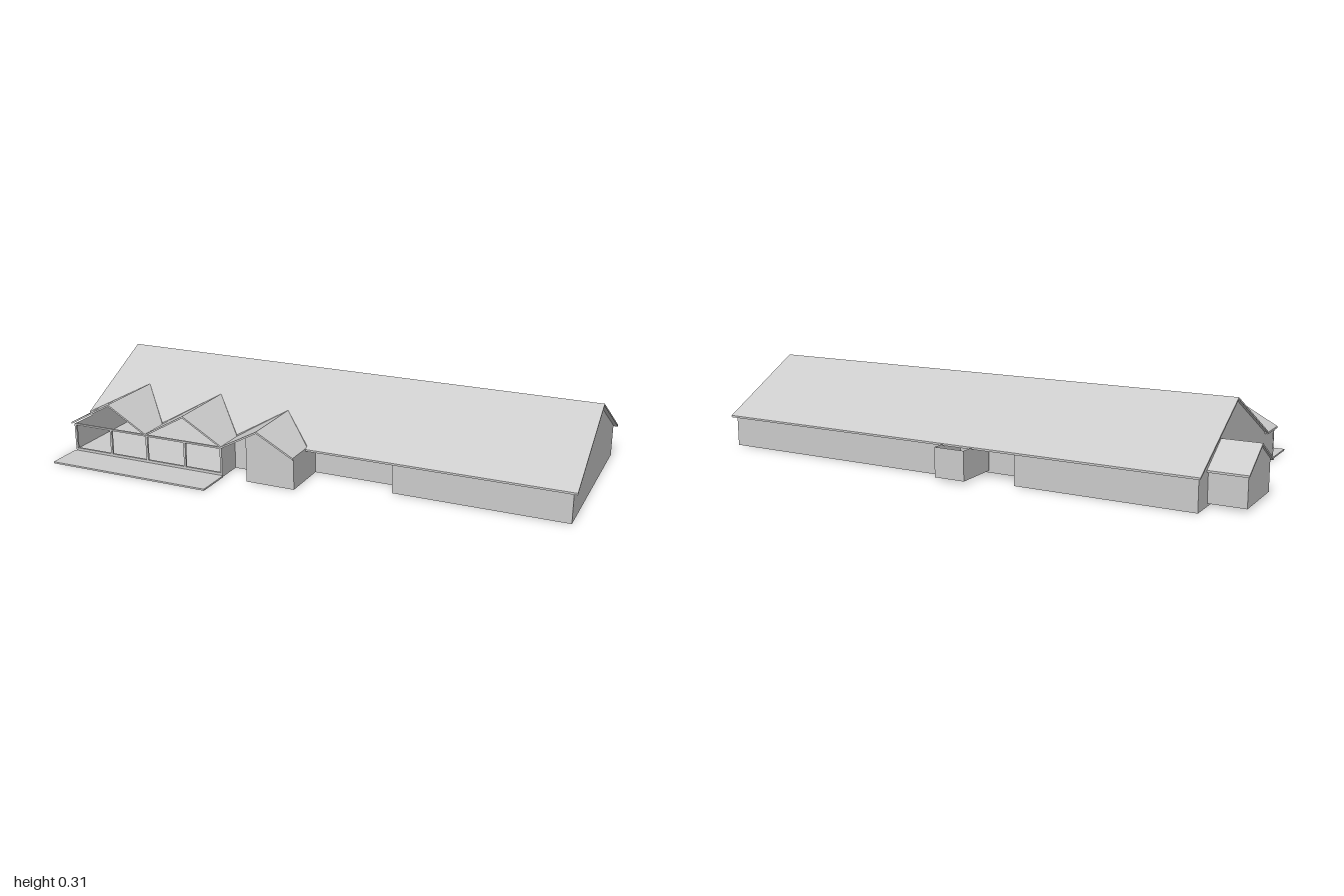
import * as THREE from 'three';

const material = new THREE.MeshStandardMaterial({ color: 0xcccccc, side: THREE.DoubleSide });
const T = 0.007; // roof thickness
const FLOOR = 0.01;

// Heights of the roof tops
const mainTop = (z) => 0.305 - (z > -0.1 ? 0.516 * (z + 0.1) : 0.546 * (-0.1 - z));
const annexTop = (z) => 0.195 - 0.6 * Math.abs(z + 0.234);
const under = (z) => mainTop(z) - T;

export function createModel() {
  const model = new THREE.Group();

  function add(name, geometry) {
    const mesh = new THREE.Mesh(geometry, material);
    mesh.name = name;
    model.add(mesh);
    return mesh;
  }

  // Slab from a plan outline of [x, z], lifted to the height top(x, z)
  function slab(name, plan, thickness, top) {
    const shape = new THREE.Shape(plan.map(([x, z]) => new THREE.Vector2(x, -z)));
    const g = new THREE.ExtrudeGeometry(shape, { depth: thickness, bevelEnabled: false });
    g.rotateX(-Math.PI / 2);
    const p = g.attributes.position;
    for (let i = 0; i < p.count; i++) {
      p.setY(i, p.getY(i) - thickness + top(p.getX(i), p.getZ(i)));
    }
    g.computeVertexNormals();
    return add(name, g);
  }

  // Thin upright panels: across x (facing z) or across z (facing x)
  const outline = (pts) => new THREE.ShapeGeometry(new THREE.Shape(pts.map(([a, y]) => new THREE.Vector2(a, y))));
  const panelZ = (name, z, pts) => add(name, outline(pts).translate(0, 0, z));
  const panelX = (name, x, pts) => add(name, outline(pts).rotateY(-Math.PI / 2).translate(x, 0, 0));
  const wallZ = (name, z, x0, x1, y = under(z)) =>
    panelZ(name, z, [[x0, FLOOR], [x1, FLOOR], [x1, y], [x0, y]]);
  const wallX = (name, x, z0, z1, y0 = under(z0), y1 = under(z1)) =>
    panelX(name, x, [[z0, FLOOR], [z1, FLOOR], [z1, y1], [z0, y0]]);

  // Floor plate with its recesses, and the terrace
  slab('floorPlate', [
    [-0.865, -0.43], [-0.225, -0.43], [-0.225, -0.32], [0.045, -0.32], [0.045, -0.43], [0.985, -0.43],
    [0.985, 0.248], [0.365, 0.248], [0.365, 0.18], [0.045, 0.18], [0.045, 0.36], [-0.14, 0.36],
    [-0.14, 0.26], [-0.238, 0.26], [-0.238, 0.36], [-0.865, 0.36],
  ], FLOOR, () => FLOOR);
  slab('terrace', [[-0.87, 0.36], [-0.235, 0.36], [-0.235, 0.495], [-0.87, 0.495]], 0.006, () => 0.006);

  // Main roof: back slope, and front slope notched for the three cross gables
  slab('mainRoofBack', [[-0.875, -0.445], [1, -0.445], [1, -0.1], [-0.875, -0.1]], T, (x, z) => mainTop(z));
  slab('mainRoofFront', [
    [-0.875, -0.1], [1, -0.1], [1, 0.265], [0.045, 0.265], [0.045, 0.25], [-0.095, 0.113], [-0.235, 0.25],
    [-0.39, 0.084], [-0.55, 0.25], [-0.705, 0.084], [-0.875, 0.25],
  ], T, (x, z) => mainTop(z));

  // Cross gable roofs
  const eave = 0.119;
  const gables = [
    { left: -0.875, ridge: -0.705, right: -0.55, top: 0.21, back: 0.084 },
    { left: -0.55, ridge: -0.39, right: -0.235, top: 0.21, back: 0.084 },
    { left: -0.235, ridge: -0.095, right: 0.045, top: 0.195, back: 0.113 },
  ];
  const gableTop = (g, x) =>
    g.top - (g.top - eave) * (x < g.ridge ? (g.ridge - x) / (g.ridge - g.left) : (x - g.ridge) / (g.right - g.ridge));
  for (const g of gables) {
    for (const side of [g.left, g.right]) {
      slab('crossGableRoof', [[g.ridge, g.back], [g.ridge, 0.368], [side, 0.368], [side, 0.25]], T,
        (x) => gableTop(g, x));
    }
  }

  // End walls under the main roof
  for (const x of [-0.865, 0.985]) {
    panelX('endWall', x, [[-0.43, FLOOR], [0.248, FLOOR], [0.248, under(0.248)], [-0.1, under(-0.1)], [-0.43, under(-0.43)]]);
  }

  // Back walls with the recessed entrance
  wallZ('backWall', -0.43, -0.865, -0.225);
  wallZ('backWall', -0.43, 0.045, 0.985);
  wallZ('backRecessWall', -0.32, -0.225, 0.045);
  for (const x of [-0.225, 0.045]) wallX('backRecessSide', x, -0.43, -0.32);

  // Front walls with the recess
  wallZ('frontWall', 0.248, 0.365, 0.985);
  wallZ('frontRecessWall', 0.18, 0.045, 0.365);
  wallX('frontRecessSide', 0.365, 0.18, 0.248);

  // Porch under the third gable
  const g3 = gables[2];
  const porchLeft = gableTop(g3, -0.14) - T;
  panelZ('porchFront', 0.36, [[-0.14, FLOOR], [0.045, FLOOR], [0.045, eave - T], [-0.095, g3.top - T], [-0.14, porchLeft]]);
  wallX('porchSide', 0.045, 0.18, 0.36, eave - T, eave - T);
  wallX('porchSide', -0.14, 0.2, 0.36, porchLeft, porchLeft);
  panelZ('porchLinkWall', 0.26, [[-0.238, FLOOR], [-0.14, FLOOR], [-0.14, porchLeft], [-0.238, eave - T]]);

  // Open bays: side walls, posts and rails
  wallX('baySide', -0.865, 0.248, 0.36, eave - T, eave - T);
  wallX('baySide', -0.238, 0.248, 0.36, eave - T, eave - T);
  for (const x of [-0.862, -0.705, -0.55, -0.39, -0.241]) {
    add('bayPost', new THREE.BoxGeometry(0.008, 0.102, 0.008).translate(x, 0.061, 0.357));
  }
  for (const y of [0.013, 0.11]) {
    add('bayRail', new THREE.BoxGeometry(0.625, 0.006, 0.008).translate(-0.5515, y, 0.357));
  }

  // Side annex, open underneath
  for (const z of [-0.36, -0.108]) {
    slab('annexRoof', [[-1, -0.234], [-0.865, -0.234], [-0.865, z], [-1, z]], T, (x, zz) => annexTop(zz));
  }
  const annexEave = annexTop(-0.346) - T;
  for (const z of [-0.346, -0.122]) wallZ('annexWall', z, -0.993, -0.865, annexEave);
  panelX('annexEndWall', -0.993,
    [[-0.346, FLOOR], [-0.122, FLOOR], [-0.122, annexEave], [-0.234, 0.195 - T], [-0.346, annexEave]]);

  // Open-topped enclosure behind the building
  for (const z of [-0.495, -0.33]) wallZ('enclosureWall', z, -0.07, 0.045, 0.115);
  for (const x of [-0.07, 0.045]) wallX('enclosureSide', x, -0.495, -0.33, 0.115, 0.115);

  return model;
}
